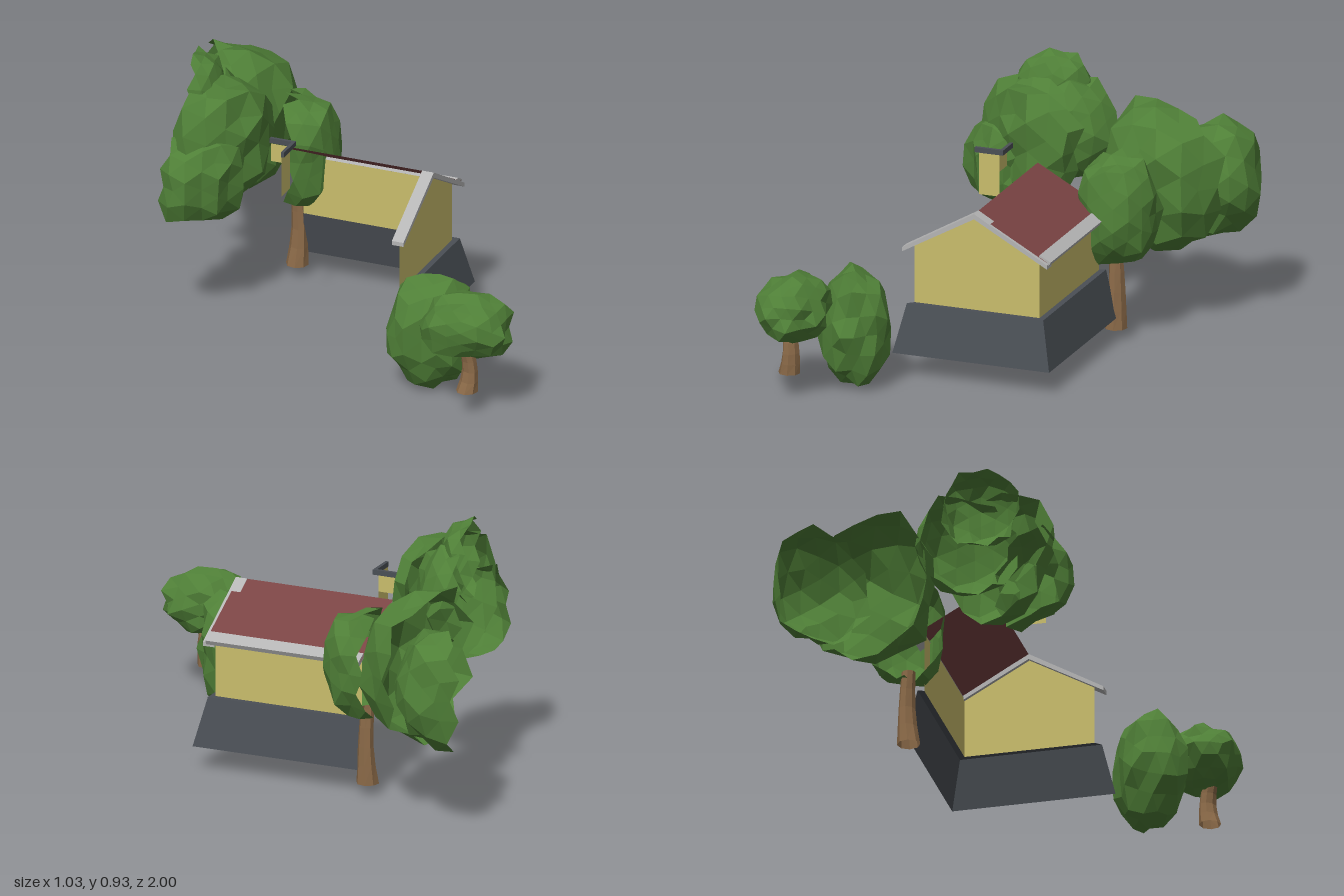
import * as THREE from 'three';

const mat = (color) => new THREE.MeshStandardMaterial({ color, flatShading: true, side: THREE.DoubleSide });
const M = {
  wall: mat(0xc9bd6c), roof: mat(0x7a4444), stone: mat(0x4a4f55),
  trim: mat(0xb5b5b5), leaf: mat(0x4f7f37), bark: mat(0x8b6a48),
};

function add(parent, name, geometry, material) {
  const m = new THREE.Mesh(geometry, material);
  m.name = name;
  parent.add(m);
  return m;
}

// Flat panel from four corners, counter-clockwise seen from outside
function quad(a, b, c, d) {
  const g = new THREE.BufferGeometry();
  g.setAttribute('position', new THREE.Float32BufferAttribute([...a, ...b, ...c, ...d], 3));
  g.setIndex([0, 1, 2, 0, 2, 3]);
  g.computeVertexNormals();
  return g;
}

function box(parent, name, material, size, pos) {
  const m = add(parent, name, new THREE.BoxGeometry(...size), material);
  m.position.set(...pos);
  return m;
}

// Repeatable bump value, equal for coincident vertices
function bump(x, y, z, seed) {
  const k = Math.round(x * 100) * 12.9898 + Math.round(y * 100) * 78.233 + Math.round(z * 100) * 37.719 + seed * 4.17;
  const s = Math.sin(k) * 43758.5453;
  return s - Math.floor(s);
}

// Faceted leafy lump; cut > -1 keeps only the faces towards local +z
function foliage(radii, seed, cut, p) {
  const src = new THREE.IcosahedronGeometry(1, 2).getAttribute('position');
  const out = [];
  for (let i = 0; i < src.count; i += 3) {
    const z = (src.getZ(i) + src.getZ(i + 1) + src.getZ(i + 2)) / 3;
    if (z < cut) continue;
    for (let j = i; j < i + 3; j++) {
      const v = new THREE.Vector3().fromBufferAttribute(src, j);
      const n = Math.pow(Math.abs(v.x) ** p + Math.abs(v.y) ** p + Math.abs(v.z) ** p, 1 / p);
      const r = (0.84 + 0.2 * bump(v.x, v.y, v.z, seed)) / n;
      out.push(v.x * r * radii[0], v.y * r * radii[1], v.z * r * radii[2]);
    }
  }
  const g = new THREE.BufferGeometry();
  g.setAttribute('position', new THREE.Float32BufferAttribute(out, 3));
  g.computeVertexNormals();
  return g;
}

// Tapered trunk with a slight bend
function trunk(height, r0, r1, bend) {
  const g = new THREE.CylinderGeometry(r1, r0, height, 8, 4, true);
  g.translate(0, height / 2, 0);
  const p = g.getAttribute('position');
  for (let i = 0; i < p.count; i++) {
    const t = p.getY(i) / height;
    p.setX(i, p.getX(i) * (1 - 0.2 * Math.sin(t * Math.PI)) + bend * Math.sin(t * Math.PI));
  }
  g.computeVertexNormals();
  return g;
}

const outline = (points) => new THREE.Shape(points.map(([x, y]) => new THREE.Vector2(x, y)));

function buildHouse() {
  const house = new THREE.Group();
  house.name = 'house';
  house.position.set(0.251, 0, 0.2375);
  house.rotation.y = 0.6435;

  // Walls: full front gable and the right side
  const gable = outline([[-0.229, 0.25], [0.229, 0.25], [0.229, 0.468], [0, 0.592], [-0.229, 0.468]]);
  add(house, 'gableWall', new THREE.ShapeGeometry(gable), M.wall);
  add(house, 'sideWall', quad([0.229, 0.25, 0], [0.229, 0.25, -0.55], [0.229, 0.468, -0.55], [0.229, 0.468, 0]), M.wall);

  // Flared foundation with a narrow ledge
  add(house, 'frontFoundation',
    quad([-0.2875, 0.079, 0.06], [0.2875, 0.079, 0.06], [0.25, 0.25, 0.02], [-0.25, 0.25, 0.02]), M.stone);
  add(house, 'sideFoundation',
    quad([0.2875, 0.079, 0.06], [0.2875, 0.079, -0.57], [0.25, 0.25, -0.56], [0.25, 0.25, 0.02]), M.stone);
  add(house, 'frontLedge', quad([-0.25, 0.25, 0.02], [0.25, 0.25, 0.02], [0.229, 0.25, 0], [-0.229, 0.25, 0]), M.stone);
  add(house, 'sideLedge', quad([0.25, 0.25, 0.02], [0.25, 0.25, -0.56], [0.229, 0.25, -0.55], [0.229, 0.25, 0]), M.stone);

  // Roof slope
  add(house, 'roofSlope', quad([0, 0.604, 0.02], [0.262, 0.46, 0.02], [0.262, 0.46, -0.56], [0, 0.604, -0.56]), M.roof);

  // Bargeboards along the gable and the eave edge
  const chevron = outline([[-0.264, 0.438], [0, 0.586], [0.268, 0.438], [0.268, 0.453], [0, 0.605], [-0.264, 0.453]]);
  const barge = new THREE.ExtrudeGeometry(chevron, { depth: 0.043, bevelEnabled: false });
  add(house, 'gableTrim', barge, M.trim).position.z = -0.013;
  const eave = box(house, 'eaveTrim', M.trim, [0.046, 0.018, 0.575], [0.252, 0.464, -0.27]);
  eave.rotation.z = -0.5;
  return house;
}

// Chimney: two outward faces under an edge cap
function buildChimney() {
  const chimney = new THREE.Group();
  chimney.name = 'chimney';
  chimney.position.set(-0.105, 0, -0.07);
  chimney.rotation.y = 0.6435;
  add(chimney, 'chimneyFront', quad([-0.076, 0.5, 0], [0, 0.5, 0], [0, 0.656, 0], [-0.076, 0.656, 0]), M.wall);
  add(chimney, 'chimneySide', quad([0, 0.59, 0], [0, 0.59, -0.07], [0, 0.656, -0.07], [0, 0.656, 0]), M.wall);
  box(chimney, 'capFront', M.stone, [0.104, 0.018, 0.012], [-0.034, 0.663, 0.008]);
  box(chimney, 'capSide', M.stone, [0.012, 0.018, 0.092], [0.012, 0.663, -0.032]);
  return chimney;
}

function addCrown(parent, name, pos, radii, seed, yaw, cut = -2, p = 2.3) {
  const m = add(parent, name, foliage(radii, seed, cut, p), M.leaf);
  m.position.set(...pos);
  m.rotation.y = yaw;
}

export function createModel() {
  const model = new THREE.Group();
  model.name = 'cottageWithTrees';
  model.add(buildHouse(), buildChimney());

  // Small front tree and bush
  addCrown(model, 'frontTreeCrown', [0.06, 0.315, 0.852], [0.163, 0.12, 0.127], 1, -0.75);
  add(model, 'frontTreeTrunk', trunk(0.15, 0.038, 0.026, 0.012), M.bark).position.set(0.05, 0.079, 0.865);
  addCrown(model, 'bush', [0.058, 0.21, 0.612], [0.155, 0.216, 0.124], 2, -0.4, -2, 2.5);

  // Left background tree, open at the rear: front, low, side and top lobes
  addCrown(model, 'leftTreeFront', [-0.25, 0.625, -0.33], [0.22, 0.235, 0.16], 3, 0.2, 0.02, 2.7);
  addCrown(model, 'leftTreeLow', [-0.36, 0.53, -0.275], [0.165, 0.172, 0.145], 9, 0.05, 0.02, 2.9);
  addCrown(model, 'leftTreeSide', [-0.22, 0.665, -0.41], [0.19, 0.185, 0.14], 7, 1.2, 0.02);
  addCrown(model, 'leftTreeTop', [-0.285, 0.78, -0.41], [0.135, 0.15, 0.11], 4, 0.85, 0.02);

  // Rear background tree, open at the rear: a near lobe and a far lobe
  addCrown(model, 'backTreeNear', [0.01, 0.515, -0.675], [0.235, 0.265, 0.215], 5, 0.42, 0.02, 2.8);
  addCrown(model, 'backTreeFar', [0.045, 0.49, -0.83], [0.185, 0.22, 0.17], 8, 1.35, 0.02, 2.6);

  // Slim side tree
  addCrown(model, 'sideTreeCrown', [0.13, 0.465, -0.405], [0.15, 0.205, 0.14], 6, 0.85, -0.2);
  add(model, 'sideTreeTrunk', trunk(0.27, 0.04, 0.024, 0.008), M.bark).position.set(0.115, 0.035, -0.4);

  return model;
}
